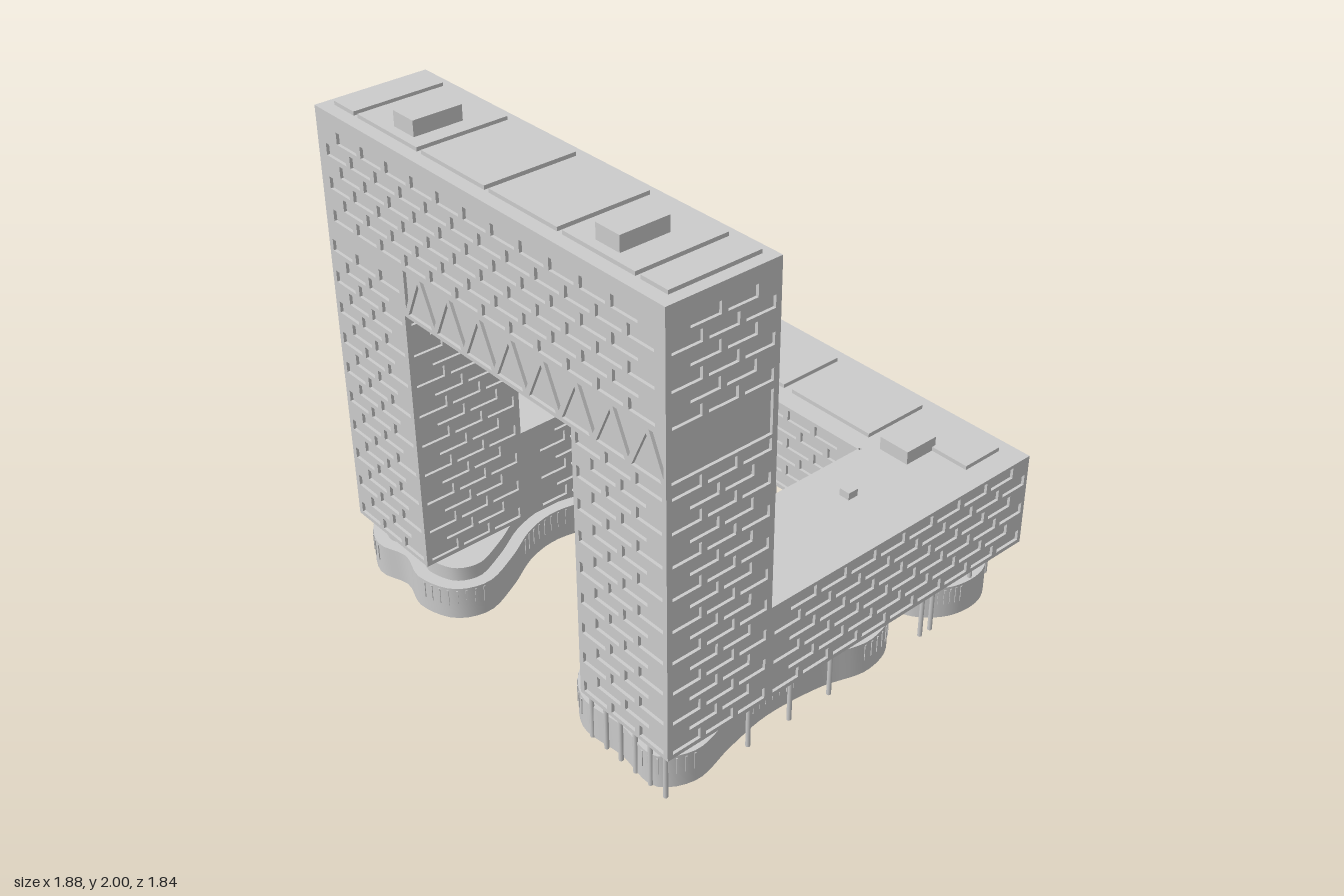
import * as THREE from 'three';
import { mergeGeometries, toCreasedNormals } from 'three/addons/utils/BufferGeometryUtils.js';

const material = new THREE.MeshStandardMaterial({ color: 0xcccccc });
// Main planes of the building
const L = -0.9, R = 0.937, F = 0.897, B = -0.897;   // outer faces
const IL = -0.44, IR = 0.48, IB = -0.45, T = 0.435; // courtyard and tower back
const Y0 = 0.2, YL = 0.6, YA = 1.3, YT = 1.94;      // underside, low roof, arch, tower top
const D = 0.012;                                    // window depth

const rect = (a, b, c, d) => [[a, c], [b, c], [b, d], [a, d]]; // u0, u1, v0, v1
const path = (pts, Type = THREE.Shape) => new Type(pts.map(p => new THREE.Vector2(p[0], p[1])));

function extrude(outline, depth, holes = []) {
  const shape = path(outline);
  shape.holes = holes.map(h => path(h, THREE.Path));
  return new THREE.ExtrudeGeometry(shape, { depth, bevelEnabled: false });
}

// Horizontal slab from an x,z outline
function slab(outline, y0, y1, holes = []) {
  const flip = pts => pts.map(([x, z]) => [x, -z]);
  return extrude(flip(outline), y1 - y0, holes.map(flip)).rotateX(-Math.PI / 2).translate(0, y0, 0);
}

function box(x0, x1, y0, y1, z0, z1) {
  return new THREE.BoxGeometry(x1 - x0, y1 - y0, z1 - z0).toNonIndexed()
    .translate((x0 + x1) / 2, (y0 + y1) / 2, (z0 + z1) / 2);
}

// Staggered window openings filling a rectangle of wall
function windows(u0, u1, v0, v1) {
  const pitch = 0.147, w = 0.122, h = 0.046, out = [];
  const n = Math.floor((u1 - u0 - 0.005) / pitch), mid = (u0 + u1) / 2;
  for (let k = 0; k < 27; k++) {
    const v = 0.24 + k * 0.0646;
    if (v - h / 2 < v0 + 0.001 || v + h / 2 > v1 - 0.001) continue;
    const count = k % 2 ? n - 1 : n;
    for (let i = 0; i < count; i++) {
      const c = mid + (i - (count - 1) / 2) * pitch;
      out.push(rect(c - w / 2, c + w / 2, v - h / 2, v + h / 2));
    }
  }
  return out;
}

// Triangular openings between the diagonals of the truss
function trussHoles() {
  const lo = 1.315, hi = 1.485, out = [];
  for (let k = 0; k < 8; k++) {
    const c = -0.345 + 0.17 * k;
    out.push([[c - 0.07, lo], [c + 0.07, lo], [c, hi - 0.02]]);
    if (k < 7) out.push([[c + 0.015, hi], [c + 0.085, lo + 0.02], [c + 0.155, hi]]);
  }
  out.push([[-0.428, hi], [-0.428, lo + 0.02], [-0.36, hi]]);
  out.push([[0.926, hi], [0.858, hi], [0.926, lo + 0.02]]);
  return out;
}

const archOutline = (i, y0, top) => [
  [L + i, y0], [IL - i, y0], [IL - i, YA], [IR + i, YA], [IR + i, y0], [R - i, y0], [R - i, top], [L + i, top]];

// Rounded closed plan, optionally pulled inwards
function podPlan(points, inset = 0) {
  const curve = new THREE.CatmullRomCurve3(points.map(p => new THREE.Vector3(p[0], 0, p[1])), true);
  const pts = curve.getSpacedPoints(96).slice(0, 96);
  const area = pts.reduce((s, p, i) => {
    const q = pts[(i + 1) % 96];
    return s + p.x * q.z - q.x * p.z;
  }, 0);
  return pts.map((p, i) => {
    const t = pts[(i + 1) % 96].clone().sub(pts[(i + 95) % 96]).normalize().multiplyScalar(Math.sign(area));
    return [p.x - t.z * inset, p.z + t.x * inset, Math.atan2(-t.z, t.x)];
  });
}

export function createModel() {
  const group = new THREE.Group();
  const add = (name, ...geos) => {
    const mesh = new THREE.Mesh(geos.length > 1 ? mergeGeometries(geos) : geos[0], material);
    mesh.name = name;
    group.add(mesh);
  };

  // Solid cores behind the window walls
  const skylights = [[-0.23, -0.115], [0.17, 0.285]];
  add('towerCore', extrude(archOutline(D, Y0, 1.9), F - T - 2 * D).translate(0, 0, T + D));
  add('towerRoof', slab(rect(L + D, R - D, T + D, F - D), 1.9, YT,
    skylights.map(([a, b]) => rect(a, b, 0.62, 0.74))));
  add('lowCore', slab([[L + D, B + D], [R - D, B + D], [R - D, T + 0.05], [IR + D, T + 0.05], [IR + D, IB - D],
    [IL - D, IB - D], [IL - D, T + 0.05], [L + D, T + 0.05]], Y0, YL));

  // Tower front and back walls with the truss over the opening
  const upper = [...windows(L, R, 1.49, YT), ...windows(L, IL, YL, 1.49), ...windows(IR, R, YL, YA), ...trussHoles()];
  const lower = [...windows(L, IL, Y0, YL), ...windows(IR, R, Y0, YL)];
  add('towerFrontWall', extrude(archOutline(0, Y0, YT), D, [...upper, ...lower]).translate(0, 0, F - D));
  add('towerBackWall', extrude(archOutline(0, YL, YT), D, upper).translate(0, 0, T));

  // Low block walls facing back and into the courtyard
  add('lowBackWall', extrude(rect(L, R, Y0, YL), D, windows(L, R, Y0, YL)).translate(0, 0, B));
  add('courtyardBackWall', extrude(rect(IL, IR, Y0, YL), D, windows(IL, IR, Y0, YL)).translate(0, 0, IB - D));

  // L-shaped side walls: tower end plus low wing (u runs along -z)
  const sideWall = (name, x, back, top, towerHoles) => add(name, extrude(
    [[-F, Y0], [-back, Y0], [-back, YL], [-T, YL], [-T, top], [-F, top]], D,
    [...towerHoles, ...windows(-T, -back, Y0, YL)]).rotateY(Math.PI / 2).translate(x, 0, 0));
  sideWall('leftOuterWall', R - D, B, YT, [...windows(-F, -T, Y0, YA), ...windows(-F, -T, 1.49, YT),
    rect(-F + 0.022, -T - 0.022, 1.31, 1.48)]);
  sideWall('rightOuterWall', L, B, YT, windows(-F, -T, Y0, YT));
  sideWall('rightCourtyardWall', IL - D, IB, YA, windows(-F, -T, Y0, YA));
  sideWall('leftCourtyardWall', IR, IB, YA, windows(-F, -T, Y0, YA));

  // Tower roof panels with recesses, and rooftop boxes
  const panels = [
    [-0.855, -0.735], [-0.71, -0.36, rect(-0.6, -0.43, 0.56, 0.81)], [-0.335, 0.01, rect(-0.26, -0.085, 0.6, 0.765)],
    [0.035, 0.38, rect(0.14, 0.315, 0.6, 0.765)], [0.405, 0.745, rect(0.475, 0.64, 0.56, 0.81)], [0.77, 0.89]];
  add('towerRoofPanels', ...panels.map(([a, b, hole]) =>
    slab(rect(a, b, 0.475, 0.845), YT, YT + 0.015, hole ? [hole] : [])));
  add('towerRoofBoxes', box(-0.572, -0.457, YT, 2, 0.59, 0.79), box(0.497, 0.61, YT, 2, 0.59, 0.79));

  // Low roof panels, plant boxes and vents
  add('lowRoofPanels',
    box(-0.41, -0.005, YL, 0.617, -0.835, -0.535), box(0.04, 0.455, YL, 0.617, -0.835, -0.535),
    box(-0.805, -0.485, YL, 0.617, -0.835, -0.65), box(0.53, 0.84, YL, 0.617, -0.835, -0.65));
  add('lowRoofBoxes',
    box(-0.635, -0.5, YL, 0.655, -0.667, -0.512), box(0.535, 0.672, YL, 0.655, -0.667, -0.512));
  add('roofVents', ...[-0.627, 0.662].flatMap(x => [-0.213, 0.21].map(z =>
    box(x - 0.023, x + 0.023, YL, 0.63, z - 0.023, z + 0.023))));

  // Ground-level pods with flowing plans: wide base, recessed upper storey, slit mullions
  const pods = {
    rightPod: [[-0.94, 0.76], [-0.87, 0.86], [-0.75, 0.915], [-0.62, 0.88], [-0.48, 0.915], [-0.33, 0.86],
      [-0.28, 0.74], [-0.34, 0.58], [-0.43, 0.42], [-0.46, 0.28], [-0.415, 0.02], [-0.44, -0.1], [-0.4, -0.2],
      [-0.5, -0.29], [-0.7, -0.3], [-0.86, -0.27], [-0.915, -0.17], [-0.88, 0], [-0.82, 0.2], [-0.82, 0.45], [-0.88, 0.62]],
    leftPod: [[0.91, 0.75], [0.84, 0.87], [0.65, 0.86], [0.45, 0.87], [0.32, 0.76], [0.36, 0.6], [0.47, 0.42],
      [0.5, 0.3], [0.455, 0.03], [0.48, -0.1], [0.435, -0.2], [0.52, -0.29], [0.7, -0.3], [0.86, -0.25],
      [0.91, -0.1], [0.86, 0.1], [0.84, 0.35], [0.87, 0.55]],
    backPod: [[0.05, -0.81], [0.12, -0.915], [0.3, -0.87], [0.55, -0.85], [0.8, -0.84], [0.91, -0.72], [0.9, -0.55],
      [0.78, -0.43], [0.62, -0.47], [0.45, -0.6], [0.2, -0.64], [0.07, -0.71]],
    roundPod: Array.from({ length: 8 }, (_, i) =>
      [-0.52 + 0.17 * Math.cos(i * Math.PI / 4), -0.66 + 0.17 * Math.sin(i * Math.PI / 4)]),
  };
  for (const [name, pts] of Object.entries(pods)) {
    const plan = podPlan(pts);
    add(name + 'Base', toCreasedNormals(slab(plan, 0, 0.14), 0.6));
    add(name + 'Upper', toCreasedNormals(slab(podPlan(pts, 0.05), 0.14, Y0), 0.6));
    const slits = plan.filter((_, i) => i % 16 < 8).map(([x, z, angle]) =>
      new THREE.BoxGeometry(0.007, 0.07, 0.007).rotateY(angle).translate(x, 0.095, z));
    add(name + 'Mullions', ...slits);
  }

  // Slender columns under the overhanging edges
  const spots = [];
  for (let i = 0; i < 18; i++) spots.push([-0.885 + 0.1 * i, -0.86]);
  for (let i = 0; i < 9; i++) spots.push([-0.385 + 0.1 * i, -0.48]);
  for (let i = 0; i < 6; i++) spots.push([0.51 + 0.078 * i, 0.875]);
  for (const z of [-0.65, -0.44, -0.385, 0.1, 0.3, 0.5]) spots.push([-0.875, z], [0.905, z]);
  add('columns', ...spots.map(([x, z]) => new THREE.CylinderGeometry(0.009, 0.009, Y0, 8).translate(x, Y0 / 2, z)));

  return group;
}
